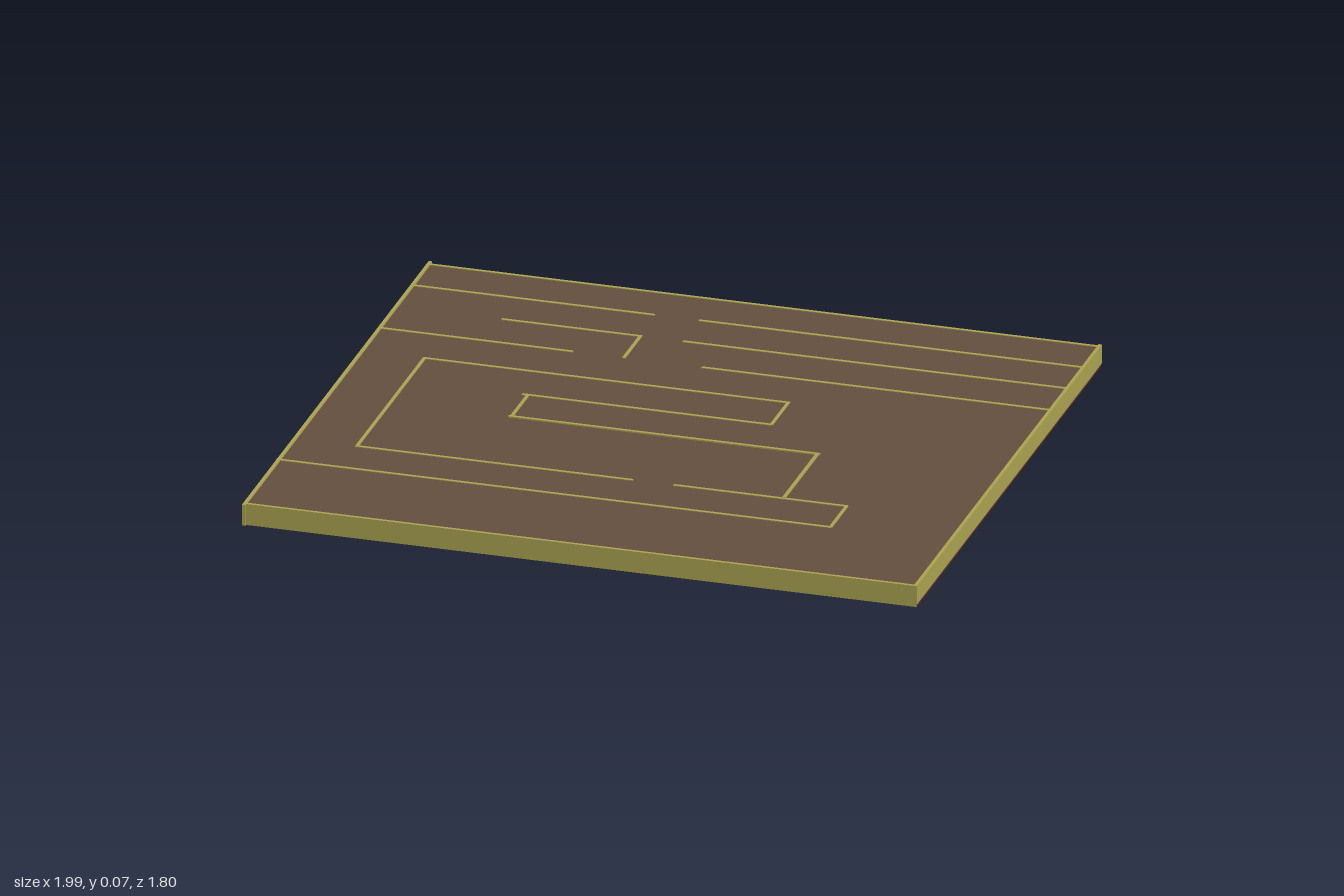
import * as THREE from 'three';

const T = 0.01;        // wall thickness
const TOP = 0.0645;    // wall height, just proud of the cover
const TALL = 0.0665;   // the few raised walls
const RAISED = 0.003;  // their lower edge, hidden inside the floor

export function createModel() {
  const model = new THREE.Group();
  model.name = 'maze';
  const make = (name, hex) => {
    const m = new THREE.MeshStandardMaterial({ color: hex });
    m.name = name;
    return m;
  };
  const wallMat = make('olive gold', 0xada551);
  const coverMat = make('brown', 0x665040);
  const floorMat = make('dark reddish brown', 0x763420);

  // box given by its minimum and maximum corners
  function box(name, mat, x0, x1, y0, y1, z0, z1) {
    const mesh = new THREE.Mesh(new THREE.BoxGeometry(x1 - x0, y1 - y0, z1 - z0), mat);
    mesh.position.set((x0 + x1) / 2, (y0 + y1) / 2, (z0 + z1) / 2);
    mesh.name = name;
    model.add(mesh);
  }
  // walls running along x or along z
  const h = T / 2;
  const alongX = (name, z, x0, x1, top = TOP, y0 = 0) => box(name, wallMat, x0, x1, y0, top, z - h, z + h);
  const alongZ = (name, x, z0, z1, top = TOP, y0 = 0) => box(name, wallMat, x - h, x + h, y0, top, z0, z1);

  // floor and cover slabs
  box('floor', floorMat, -0.993, 0.994, 0.001, 0.008, -0.882, 0.888);
  box('cover', coverMat, -0.985, 0.985, 0.008, 0.0625, -0.877, 0.884);

  // outer walls
  alongX('backWall', -0.88, -0.995, 0.993);
  alongX('frontWall', 0.888, -0.995, 0.993);
  alongZ('rightWall', -0.992, -0.9, 0.9);
  alongZ('leftWall', 0.99, -0.893, 0.893, TOP, 0.0075);

  // inner walls along x: z, start, end, height, lower edge
  [
    [-0.725, -0.99, -0.275], [-0.725, -0.145, 0.985],
    [-0.57, -0.68, -0.265], [-0.57, -0.145, 0.985],
    [-0.41, -0.99, -0.42], [-0.41, -0.04, 0.985],
    [-0.243, -0.812, 0.272], [-0.08, -0.47, 0.268],
    [0.082, -0.46, 0.46, TALL, RAISED],
    [0.408, -0.812, 0.008], [0.408, 0.128, 0.642], [0.563, -0.998, 0.642],
  ].forEach(([z, ...span]) => alongX('innerWall', z, ...span));

  // inner walls along z: x, start, end, height, lower edge
  [
    [-0.27, -0.57, -0.408], [-0.808, -0.243, 0.408], [0.267, -0.243, -0.08],
    [-0.452, -0.08, 0.082], [0.453, 0.082, 0.408, TALL, RAISED],
    [0.639, 0.408, 0.563, TOP, RAISED],
  ].forEach(([x, ...span]) => alongZ('innerWall', x, ...span));

  return model;
}
